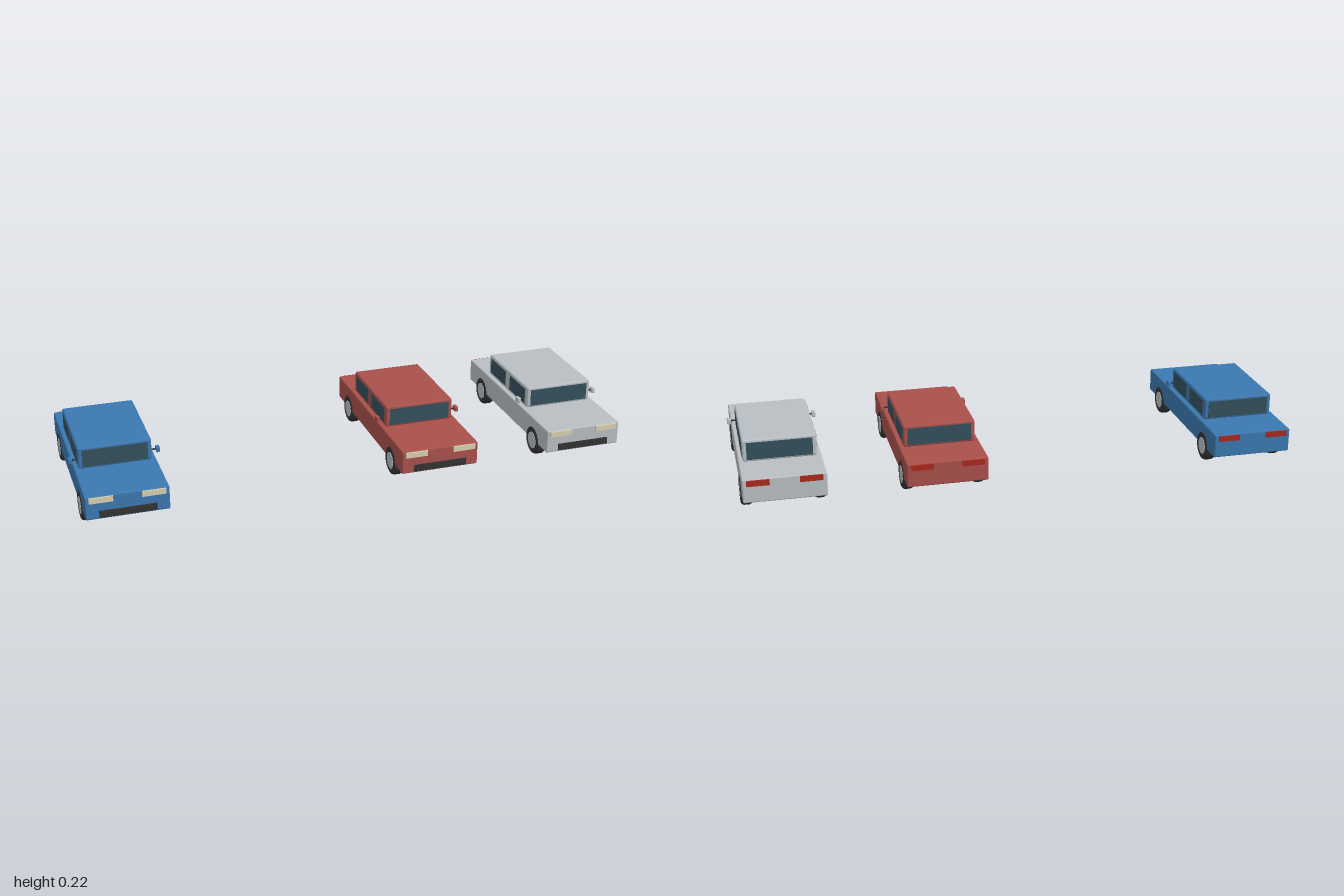
import * as THREE from 'three';
import { RoundedBoxGeometry } from 'three/addons/geometries/RoundedBoxGeometry.js';

const mat = (name, color) => {
  const m = new THREE.MeshStandardMaterial({ color });
  m.name = name;
  return m;
};

export function createModel() {
  const blue = mat('blue paint', 0x3b78b0);
  const red = mat('red paint', 0xa9504b);
  const silver = mat('silver', 0xb9bec2);
  const glass = mat('window glass', 0x344f5b);
  const dark = mat('dark rubber', 0x333333);
  const cream = mat('headlight cream', 0xd8d0b0);
  const tail = mat('tail light red', 0xa82a20);

  const add = (parent, name, geometry, material, x, y, z) => {
    const mesh = new THREE.Mesh(geometry, material);
    mesh.name = name;
    mesh.position.set(x, y, z);
    parent.add(mesh);
    return mesh;
  };
  const box = (w, h, d) => new THREE.BoxGeometry(w, h, d);

  // Tyre: rounded closed section turned about the axle
  const section = [
    [0.031, -0.018], [0.044, -0.02], [0.05, -0.017], [0.0535, -0.01],
    [0.0535, 0.01], [0.05, 0.017], [0.044, 0.02], [0.031, 0.018], [0.031, -0.018],
  ].map(([r, h]) => new THREE.Vector2(r, h));
  const tyreGeo = new THREE.LatheGeometry(section, 32).rotateZ(Math.PI / 2);
  const hubGeo = new THREE.CylinderGeometry(0.0312, 0.0312, 0.039, 32).rotateZ(Math.PI / 2);
  const stalkGeo = new THREE.CylinderGeometry(0.003, 0.003, 0.026, 10).rotateZ(Math.PI / 2);

  function car(name, paint, x) {
    const g = new THREE.Group();
    g.name = name;
    g.position.x = x;

    // Body and cabin
    add(g, 'body', new RoundedBoxGeometry(0.287, 0.086, 0.721, 3, 0.005), paint, 0, 0.097, 0);
    add(g, 'cabin', new RoundedBoxGeometry(0.257, 0.08, 0.353, 3, 0.007), paint, 0, 0.18, -0.0315);

    // Front and rear windows, grille
    add(g, 'windshield', box(0.228, 0.062, 0.006), glass, 0, 0.179, 0.145);
    add(g, 'rearWindow', box(0.228, 0.062, 0.006), glass, 0, 0.179, -0.208);
    add(g, 'grille', box(0.196, 0.024, 0.009), dark, 0, 0.073, 0.362);

    for (const s of [-1, 1]) {
      // Lights
      add(g, 'headlight', box(0.082, 0.02, 0.009), cream, s * 0.09, 0.1265, 0.362);
      add(g, 'tailLight', box(0.078, 0.02, 0.009), tail, s * 0.09, 0.1265, -0.362);
      // Side windows
      for (const z of [0.0565, -0.1195])
        add(g, 'sideWindow', box(0.004, 0.057, 0.137), glass, s * 0.128, 0.1805, z);
      // Door mirror
      add(g, 'mirrorStalk', stalkGeo, dark, s * 0.137, 0.1675, 0.12);
      add(g, 'mirror', new RoundedBoxGeometry(0.014, 0.02, 0.025, 2, 0.004), paint, s * 0.153, 0.1675, 0.12);
      // Wheels
      for (const z of [0.24, -0.24]) {
        add(g, 'tyre', tyreGeo, dark, s * 0.127, 0.0535, z);
        add(g, 'hub', hubGeo, silver, s * 0.127, 0.0535, z);
      }
    }
    return g;
  }

  const model = new THREE.Group();
  model.name = 'parkedCars';
  model.add(car('blueCar', blue, -0.84), car('redCar', red, 0.28), car('silverCar', silver, 0.84));
  return model;
}
